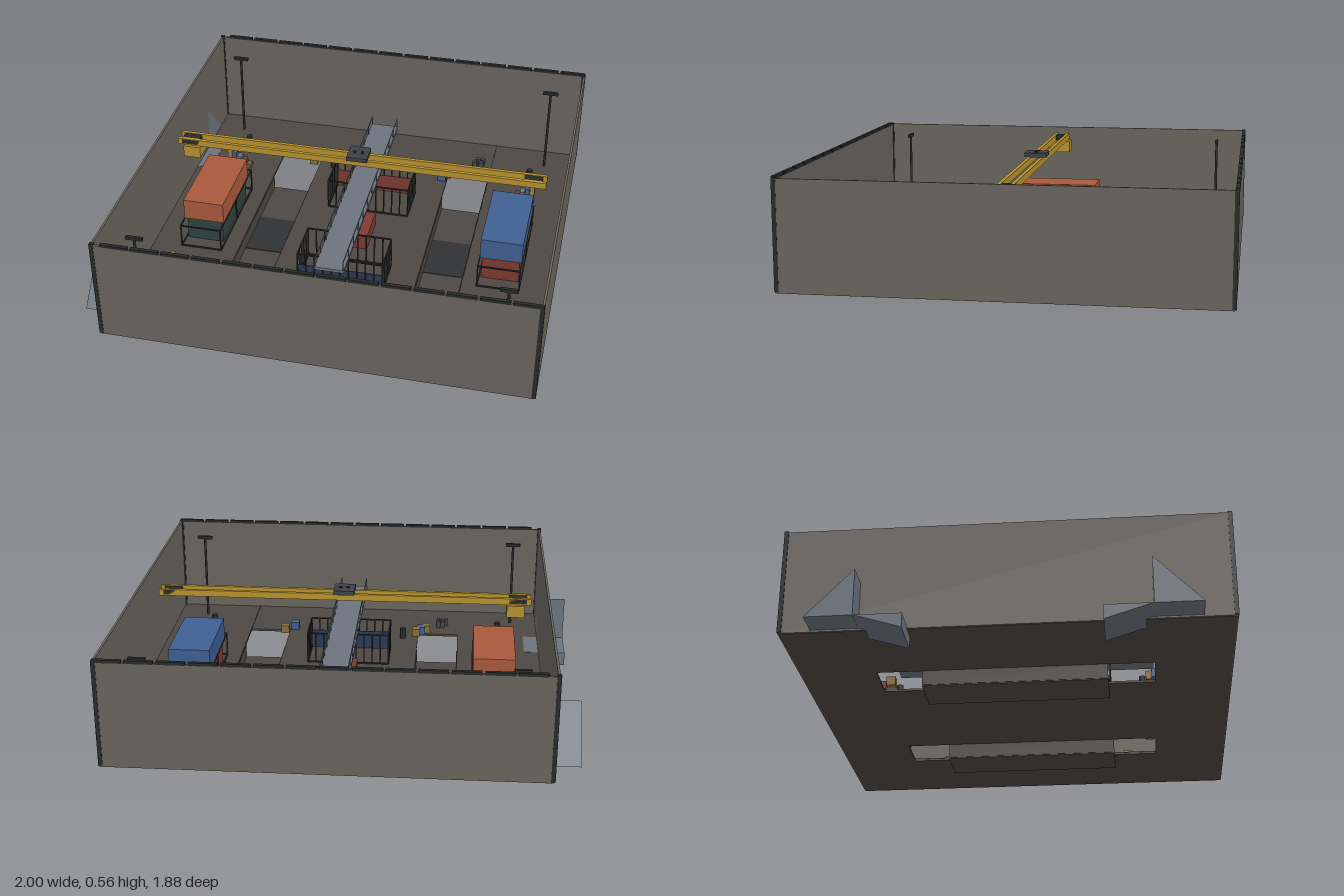
import * as THREE from 'three';

const mats = {};
const mat = (color) => (mats[color] ??= new THREE.MeshStandardMaterial({ color }));
const WALL = 0x69655e, FLOOR = 0x4d4844, DARK = 0x282b2a, STEEL = 0x6c747e, YELLOW = 0xb8922e;
const RED = 0x7d3b32, BLUE = 0x3f5f92, ORANGE = 0xa9593d, TEAL = 0x2e4440, NAVY = 0x2b3a55;
const SIDES = [-1, 1];
const FLOOR_Y = 0.08;

export function createModel() {
  const model = new THREE.Group();

  const add = (parent, name, geometry, color) => {
    const mesh = new THREE.Mesh(geometry, mat(color));
    mesh.name = name;
    parent.add(mesh);
    return mesh;
  };
  const group = (name) => {
    const g = new THREE.Group();
    g.name = name;
    model.add(g);
    return g;
  };
  // box given by its lower and upper limits on each axis
  const box = (parent, name, color, x0, x1, y0, y1, z0, z1) => {
    const mesh = add(parent, name, new THREE.BoxGeometry(x1 - x0, y1 - y0, z1 - z0), color);
    mesh.position.set((x0 + x1) / 2, (y0 + y1) / 2, (z0 + z1) / 2);
    return mesh;
  };
  const cylinder = (parent, name, color, r, x, y0, y1, z) => {
    const mesh = add(parent, name, new THREE.CylinderGeometry(r, r, y1 - y0, 12), color);
    mesh.position.set(x, (y0 + y1) / 2, z);
  };
  // prism with a (z, y) section running along x
  const prism = (parent, name, color, points, x0, x1) => {
    const shape = new THREE.Shape(points.map(([z, y]) => new THREE.Vector2(-z, y)));
    const geometry = new THREE.ExtrudeGeometry(shape, { depth: x1 - x0, bevelEnabled: false });
    geometry.rotateY(Math.PI / 2).translate(x0, 0, 0);
    add(parent, name, geometry, color);
  };

  // floor with two long openings
  const pits = [[-0.47, -0.27], [0.385, 0.585]];
  const rect = (Type, x0, x1, z) => new Type([[x0, -z], [x1, -z], [x1, z], [x0, z]]
    .map(([x, y]) => new THREE.Vector2(x, y)));
  const plan = rect(THREE.Shape, -0.875, 0.995, 0.93);
  for (const [x0, x1] of pits) plan.holes.push(rect(THREE.Path, x0, x1, 0.6));
  const floorGeometry = new THREE.ExtrudeGeometry(plan, { depth: 0.01, bevelEnabled: false });
  floorGeometry.rotateX(Math.PI / 2).translate(0, FLOOR_Y, 0);
  add(model, 'floor', floorGeometry, FLOOR);
  box(model, 'floorSeam', DARK, 0.583, 0.588, FLOOR_Y, 0.082, -0.93, 0.93);

  // sunken troughs, open at both ends
  for (const [x0, x1] of pits) {
    const trough = group('trough');
    box(trough, 'troughBottom', FLOOR, x0, x1, 0, 0.012, -0.4, 0.4);
    for (const x of [x0, x1]) box(trough, 'troughSide', FLOOR, x - 0.003, x + 0.003, 0.004, 0.075, -0.4, 0.4);
    box(trough, 'troughPad', 0x303234, x0 + 0.005, x1 - 0.005, 0.012, 0.015, -0.13, 0.13);
  }

  // walls, corner posts and segmented top trim
  const walls = group('walls');
  for (const s of SIDES) {
    box(walls, 'longWall', WALL, -0.875, 0.995, 0.072, 0.545, s * 0.93 - 0.005, s * 0.93 + 0.005);
    for (let i = 0; i < 14; i++) {
      const x = -0.835 + i * 0.1316;
      box(walls, 'topTrim', DARK, x, Math.min(x + 0.12, 0.998), 0.543, 0.556, s * 0.93 - 0.008, s * 0.93 + 0.008);
    }
    for (const x of [-0.875, 0.99])
      box(walls, 'cornerPost', DARK, x - 0.009, x + 0.009, 0.076, 0.55, s * 0.928 - 0.009, s * 0.928 + 0.009);
  }
  for (const x of [-0.875, 0.993]) box(walls, 'sideWall', WALL, x - 0.005, x + 0.005, 0.072, 0.547, -0.925, 0.925);

  // outer ramps: one rising above the floor, one dropping below it
  for (const s of SIDES) {
    const ramps = group('outerRamps');
    prism(ramps, 'upRamp', STEEL, [[s * 0.8, 0.08], [s * 0.6, 0.08], [s * 0.6, 0.29]], -1, -0.87);
    prism(ramps, 'downRamp', STEEL, [[s * 0.4, 0.018], [s * 0.4, 0.081], [s * 0.6, 0.081]], -1, -0.8);
  }

  // barred frame: rails, posts and bars around a rectangle
  const cage = (g, x0, x1, z0, z1, top, bars) => {
    const r = 0.003;
    const rails = bars ? [FLOOR_Y + r, top] : [FLOOR_Y + r, top - r];
    for (const y of rails) {
      for (const z of [z0, z1]) box(g, 'rail', DARK, x0, x1, y - r, y + r, z - r, z + r);
      for (const x of [x0, x1]) box(g, 'rail', DARK, x - r, x + r, y - r, y + r, z0, z1);
    }
    const nx = bars || 1, nz = bars ? Math.round(bars / 2) : 2;
    for (let i = 0; i <= nx; i++) {
      const x = x0 + (x1 - x0) * i / nx;
      for (const z of [z0, z1]) box(g, 'bar', DARK, x - r, x + r, FLOOR_Y, top, z - r, z + r);
    }
    for (let i = 1; i < nz; i++) {
      const z = z0 + (z1 - z0) * i / nz;
      for (const x of [x0, x1]) box(g, 'bar', DARK, x - r, x + r, FLOOR_Y, top, z - r, z + r);
    }
  };

  // racks carrying the two large containers
  for (const [x0, color, base] of [[-0.735, ORANGE, TEAL], [0.655, BLUE, RED]]) {
    const rack = group('containerRack');
    const x1 = x0 + 0.19;
    cage(rack, x0, x1, -0.26, 0.26, 0.195, 0);
    box(rack, 'lowerContainer', base, x0 + 0.01, x1 - 0.01, FLOOR_Y, 0.19, -0.19, 0.19);
    box(rack, 'container', color, x0, x1, 0.195, 0.295, -0.2, 0.2);
  }

  // barred bays beside the walkway
  for (const [s, color] of [[-1, RED], [1, NAVY]]) {
    const bay = group('barredBay');
    const [z0, z1] = s < 0 ? [-0.4, -0.2] : [0.2, 0.4];
    cage(bay, -0.14, 0.25, z0, z1, 0.23, 10);
    box(bay, 'bayPanel', color, -0.135, 0.245, FLOOR_Y, 0.17, s * 0.394 - 0.002, s * 0.394 + 0.002);
  }
  box(model, 'centreCrate', RED, 0, 0.115, FLOOR_Y, 0.15, -0.1, 0.1);

  // raised walkway with railings
  const walkway = group('walkway');
  box(walkway, 'walkwayDeck', STEEL, -0.01, 0.12, 0.315, 0.33, -0.6, 0.6);
  for (const x of [-0.007, 0.117]) {
    box(walkway, 'handrail', STEEL, x - 0.002, x + 0.002, 0.371, 0.375, -0.6, 0.6);
    for (let i = 0; i <= 12; i++) {
      const z = -0.597 + i * 0.0995;
      box(walkway, 'railingPost', STEEL, x - 0.002, x + 0.002, 0.33, 0.373, z - 0.002, z + 0.002);
    }
  }

  // overhead crane
  const crane = group('crane');
  for (const s of SIDES) box(crane, 'craneBeam', YELLOW, -0.8, 0.91, 0.495, 0.525, s * 0.028 - 0.008, s * 0.028 + 0.008);
  for (const x of [-0.74, 0.85]) box(crane, 'endCarriage', DARK, x - 0.04, x + 0.04, 0.5, 0.522, -0.036, 0.036);
  box(crane, 'hoist', YELLOW, -0.77, -0.69, 0.44, 0.495, -0.05, 0.05);
  box(crane, 'trolley', 0x3d4145, 0.005, 0.1, 0.525, 0.545, -0.05, 0.05);
  for (const x of [0.035, 0.07]) cylinder(crane, 'trolleyDrum', DARK, 0.008, x, 0.545, 0.55, 0);

  // corner lamps, bollards and stacked goods, mirrored front to back
  for (const s of SIDES) {
    for (const x of [-0.74, 0.845]) {
      const lamp = group('lampPost');
      cylinder(lamp, 'lampPole', DARK, 0.006, x, FLOOR_Y, 0.5, s * 0.795);
      box(lamp, 'lampHead', DARK, x - 0.037, x + 0.037, 0.495, 0.51, s * 0.795 - 0.007, s * 0.795 + 0.007);
    }
    for (const [x, z] of [[-0.67, 0.66], [0.785, 0.66], [-0.195, 0.545]])
      cylinder(model, 'bollard', DARK, 0.015, x, FLOOR_Y, 0.13, s * z);
    for (const [x, dir] of [[-0.71, 1], [0.82, -1]]) {
      const stack = group('goodsStack');
      [0xa4803c, BLUE, STEEL, RED, 0x6a5a48].forEach((color, i) => {
        const cx = x + dir * i * 0.024;
        box(stack, 'goodsBox', color, cx - 0.011, cx + 0.011, FLOOR_Y, 0.18 - i * 0.02, s * 0.46 - 0.02, s * 0.46 + 0.02);
      });
    }
  }

  // small crates
  const crates = group('smallCrates');
  const TAN = 0x8c6d38, CRATE_RED = 0x8a4038;
  for (const [x, z, color] of [
    [-0.255, -0.615, CRATE_RED], [-0.3, -0.565, TAN], [0.36, -0.56, BLUE], [0.382, -0.59, CRATE_RED], [0.404, -0.615, BLUE],
    [-0.31, 0.63, TAN], [-0.285, 0.605, BLUE], [-0.26, 0.58, TAN], [0.36, 0.625, BLUE], [0.405, 0.575, TAN],
  ]) box(crates, 'smallCrate', color, x - 0.02, x + 0.02, FLOOR_Y, 0.12, z - 0.02, z + 0.02);

  // groups of drums
  for (const [x, z] of [[0.52, -0.72], [-0.39, 0.71]]) {
    const drums = group('drums');
    for (const [dx, dz] of [[-0.018, 0.015], [0.014, 0.017], [-0.002, -0.013], [0.02, -0.014]])
      cylinder(drums, 'drum', 0x45484a, 0.012, x + dx, FLOOR_Y, 0.115, z + dz);
  }

  return model;
}
